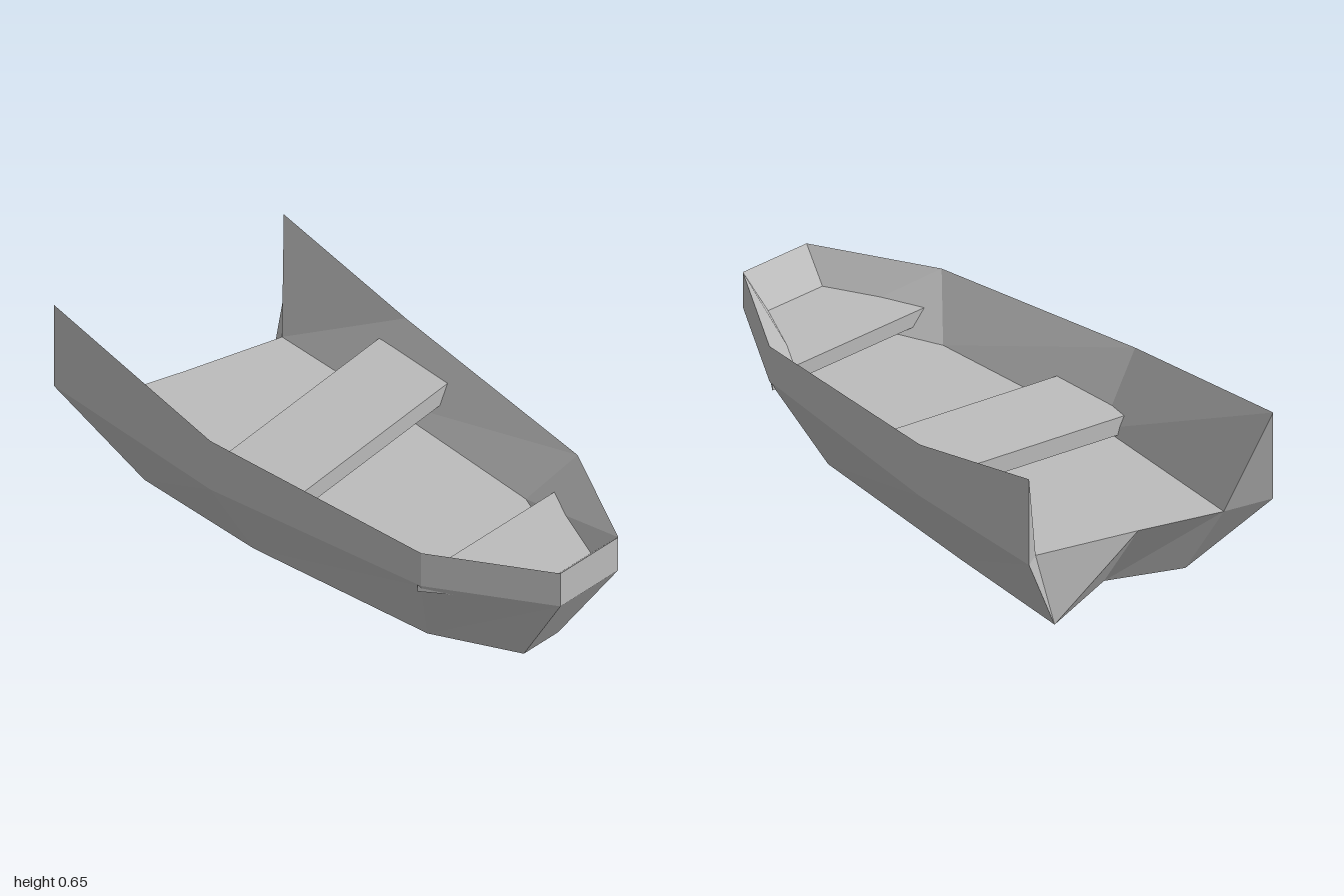
import * as THREE from 'three';

// Cross-section corners from stern along the left side, round the bow, back to stern: [x, y, z]
const bottom = [[-0.74, 0, 0.25], [-0.23, 0, 0.275], [0.49, 0, 0.22], [0.79, 0, 0.085],
  [0.79, 0, -0.075], [0.49, 0, -0.21], [-0.23, 0, -0.265], [-0.73, 0, -0.295]];
const outline = [[-1, 0.4], [-0.25, 0.457], [0.6, 0.365], [1, 0.135],
  [1, -0.135], [0.6, -0.365], [-0.25, -0.455], [-0.8, -0.463]];
const rimHeights = [0.65, 0.52, 0.457, 0.457, 0.457, 0.457, 0.52, 0.65];
const knuckle = outline.map(([x, z]) => [x, 0.325, z]);
const rim = outline.map(([x, z], i) => [x, rimHeights[i], z]);
const floor = [[-0.89, 0.285], [-0.25, 0.32], [0.47, 0.26], [0.82, 0.1],
  [0.82, -0.1], [0.47, -0.26], [-0.25, -0.325], [-0.7, -0.35]].map(([x, z]) => [x, 0.27, z]);
const sternTop = [-0.8, 0.27, 0];
const sternBottom = [-0.63, 0, 0];

// Convex-fan polygons into one flat-shaded mesh
function polygonMesh(name, polygons, material) {
  const positions = [];
  for (const p of polygons) {
    for (let i = 1; i < p.length - 1; i++) positions.push(...p[0], ...p[i], ...p[i + 1]);
  }
  const geometry = new THREE.BufferGeometry();
  geometry.setAttribute('position', new THREE.Float32BufferAttribute(positions, 3));
  geometry.computeVertexNormals();
  const mesh = new THREE.Mesh(geometry, material);
  mesh.name = name;
  return mesh;
}

// Strip of quads between two sections
function strip(a, b) {
  return a.slice(0, -1).map((p, i) => [p, a[i + 1], b[i + 1], b[i]]);
}

export function createModel() {
  const boat = new THREE.Group();
  boat.name = 'rowingBoat';
  const wood = new THREE.MeshStandardMaterial({ color: 0xbcbcbc, side: THREE.DoubleSide });
  wood.name = 'paleGrey';
  const add = (name, polygons) => boat.add(polygonMesh(name, polygons, wood));

  // Hull shell
  add('lowerHull', strip(bottom, knuckle));
  add('upperHull', strip(knuckle, rim));
  add('innerWalls', strip(rim, floor));
  add('floor', [[sternTop, ...floor]]);
  add('hullBottom', [[sternBottom, ...[...bottom].reverse()]]);

  // Notched stern with the wall ends on both sides
  add('stern', [
    [sternBottom, bottom[0], floor[0], sternTop],
    [floor[0], bottom[0], knuckle[0], rim[0]],
    [sternTop, floor[7], bottom[7], sternBottom],
    [floor[7], rim[7], knuckle[7], bottom[7]],
  ]);

  // Tilted bench across the middle
  const bench = new THREE.Mesh(new THREE.BoxGeometry(0.325, 0.065, 0.79), wood);
  bench.name = 'bench';
  bench.position.set(-0.1625, 0.35, -0.02);
  bench.rotation.x = 0.11;
  boat.add(bench);

  // Tapered bow seat, its rear corners reaching through the hull
  const seatShape = new THREE.Shape([[0.585, 0.365], [0.585, -0.365], [0.93, -0.13], [0.93, 0.13]]
    .map(([x, z]) => new THREE.Vector2(x, z)));
  const seatGeometry = new THREE.ExtrudeGeometry(seatShape, { depth: 0.055, bevelEnabled: false });
  seatGeometry.rotateX(-Math.PI / 2);
  const seat = new THREE.Mesh(seatGeometry, wood);
  seat.name = 'bowSeat';
  seat.position.y = 0.296;
  boat.add(seat);

  return boat;
}
